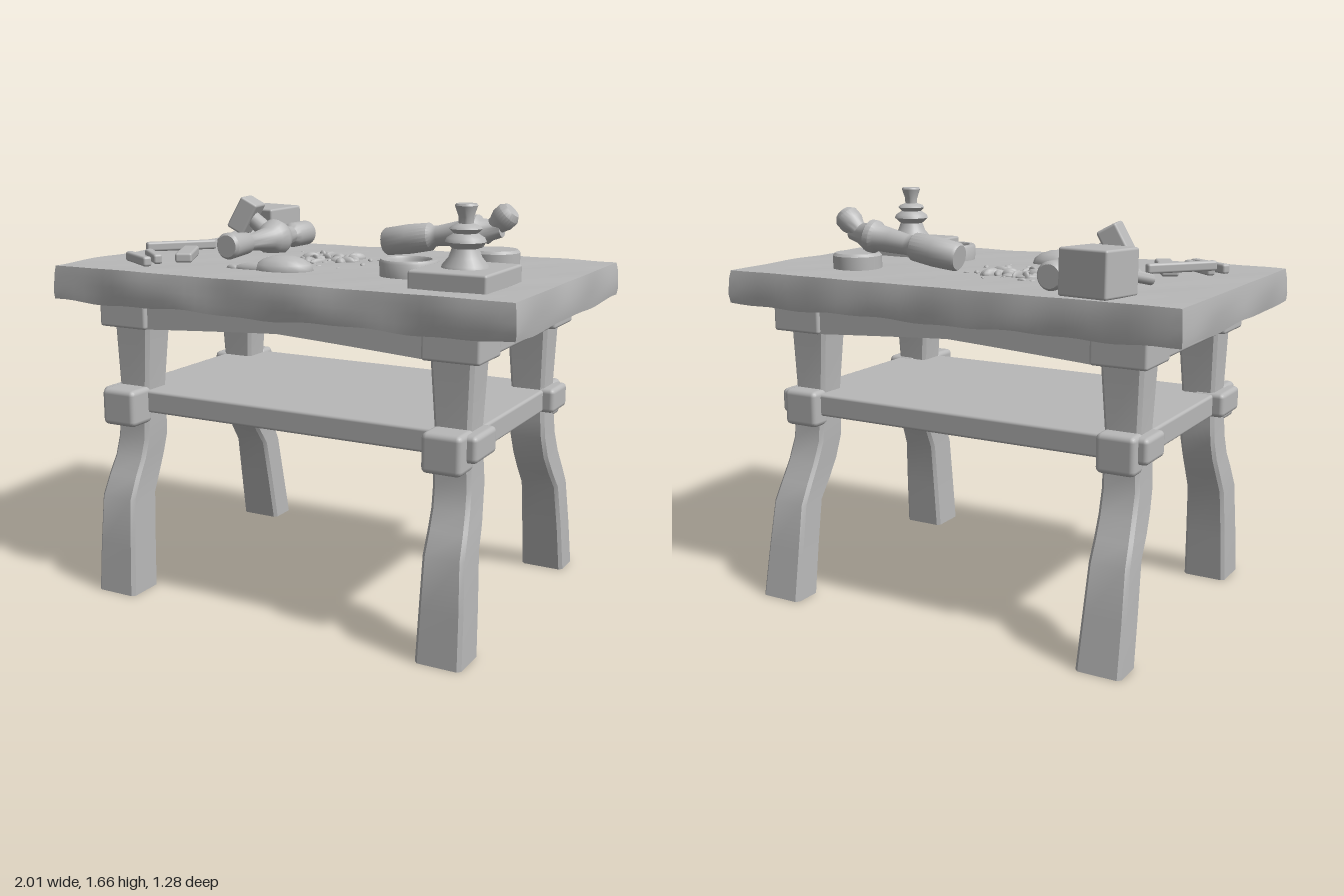
import * as THREE from 'three';
import { toCreasedNormals } from 'three/addons/utils/BufferGeometryUtils.js';
import { RoundedBoxGeometry } from 'three/addons/geometries/RoundedBoxGeometry.js';

const clay = new THREE.MeshStandardMaterial({ color: 0xb8b8b8 });
clay.name = 'grey clay';
const TOP = 1.37;

export function createModel() {
  const root = new THREE.Group();
  root.name = 'workbench';
  let seed = 7;
  const rand = () => (seed = (seed * 16807) % 2147483647) / 2147483647;

  const add = (name, geo, parent = root) => {
    const m = new THREE.Mesh(geo, clay);
    m.name = name;
    parent.add(m);
    return m;
  };
  const group = (name) => {
    const g = new THREE.Group();
    g.name = name;
    root.add(g);
    return g;
  };
  // soft-edged block given by its limits
  const block = (name, x0, x1, y0, y1, z0, z1, r = 0.012, parent = root) => {
    const m = add(name, new RoundedBoxGeometry(x1 - x0, y1 - y0, z1 - z0, 2, r), parent);
    m.position.set((x0 + x1) / 2, (y0 + y1) / 2, (z0 + z1) / 2);
    return m;
  };
  // turned piece from a to b; profile is [distance 0..1, radius]
  const turned = (name, a, b, profile, parent = root, sides = 24) => {
    const A = new THREE.Vector3(...a), dir = new THREE.Vector3(...b).sub(A), len = dir.length();
    const pts = profile.map(([t, r]) => new THREE.Vector2(r, t * len));
    pts.unshift(new THREE.Vector2(0, profile[0][0] * len));
    pts.push(new THREE.Vector2(0, profile.at(-1)[0] * len));
    const m = add(name, toCreasedNormals(new THREE.LatheGeometry(pts, sides), 0.7), parent);
    m.position.copy(A);
    m.quaternion.setFromUnitVectors(new THREE.Vector3(0, 1, 0), dir.normalize());
    return m;
  };
  // loft through chamfered rectangles [y, x0, x1, z0, z1], bottom to top
  const loft = (sections) => {
    const pos = [], idx = [], c = 0.014, n = 8;
    for (const [y, x0, x1, z0, z1] of sections) {
      const ring = [[x1, z0 + c], [x1, z1 - c], [x1 - c, z1], [x0 + c, z1],
        [x0, z1 - c], [x0, z0 + c], [x0 + c, z0], [x1 - c, z0]];
      for (const [x, z] of ring) pos.push(x, y, z);
    }
    const last = (sections.length - 1) * n;
    for (let o = 0; o < last; o += n) {
      for (let j = 0; j < n; j++) {
        const a = o + j, b = o + (j + 1) % n;
        idx.push(a, a + n, b, b, a + n, b + n);
      }
    }
    for (let j = 1; j < n - 1; j++) idx.push(0, j, j + 1, last, last + j + 1, last + j);
    const g = new THREE.BufferGeometry();
    g.setAttribute('position', new THREE.Float32BufferAttribute(pos, 3));
    g.setIndex(idx);
    return toCreasedNormals(g, 0.5);
  };

  // worn table top: slab with uneven edges
  const slab = new THREE.BoxGeometry(1.99, 0.14, 1.185, 40, 4, 26);
  const p = slab.attributes.position;
  for (let i = 0; i < p.count; i++) {
    const x = p.getX(i), y = p.getY(i), z = p.getZ(i);
    const wave = Math.sin(x * 9 + y * 20) * Math.sin(z * 11 + 1) + 0.5 * Math.sin(x * 23 + z * 17);
    const pinch = Math.abs(y) > 0.06 ? 0.005 : 0;
    p.setX(i, x + (Math.abs(x) > 0.99 ? Math.sign(x) * (0.004 * wave - pinch + 0.004) : 0));
    p.setZ(i, z + (Math.abs(z) > 0.59 ? Math.sign(z) * (0.004 * wave - pinch + 0.004) : 0));
    p.setY(i, y + (y < -0.06 ? 0.006 : 0.0015) * wave);
  }
  add('tableTop', toCreasedNormals(slab, 0.6)).position.set(0, 1.3, 0.035);

  // arched front and back aprons, straight side aprons
  for (const [name, z] of [['frontApron', 0.455], ['backApron', -0.465]]) {
    const s = new THREE.Shape();
    s.moveTo(-0.63, 1.25);
    s.lineTo(-0.63, 1.12);
    s.quadraticCurveTo(-0.25, 1.145, 0, 1.158);
    s.quadraticCurveTo(0.25, 1.145, 0.63, 1.12);
    s.lineTo(0.63, 1.25);
    add(name, new THREE.ExtrudeGeometry(s, { depth: 0.07, bevelEnabled: false })).position.z = z;
  }

  // leg profiles: [y, inner x, outer x, back z, front z]
  const frontLeg = [[0, 0.645, 0.832, 0.47, 0.64], [0.2, 0.65, 0.828, 0.458, 0.625],
    [0.41, 0.655, 0.82, 0.443, 0.607], [0.5, 0.655, 0.813, 0.402, 0.565], [0.57, 0.652, 0.805, 0.376, 0.53],
    [0.65, 0.647, 0.8, 0.356, 0.508], [0.73, 0.645, 0.795, 0.358, 0.505],
    [0.86, 0.645, 0.79, 0.362, 0.497], [1.14, 0.625, 0.8, 0.345, 0.503]];
  const backLeg = [[0, 0.645, 0.832, -0.637, -0.5], [0.2, 0.65, 0.828, -0.597, -0.465],
    [0.4, 0.655, 0.82, -0.557, -0.425], [0.48, 0.655, 0.813, -0.515, -0.365], [0.56, 0.652, 0.805, -0.473, -0.318],
    [0.65, 0.647, 0.8, -0.437, -0.288], [0.73, 0.645, 0.795, -0.43, -0.285],
    [0.86, 0.645, 0.79, -0.415, -0.285], [1.14, 0.625, 0.8, -0.422, -0.268]];
  for (const s of [1, -1]) {
    const side = s > 0 ? 'left' : 'right';
    const range = (a, b) => (s > 0 ? [a, b] : [-b, -a]);
    block(side + 'Apron', ...range(0.72, 0.815), 1.12, 1.24, -0.44, 0.5);
    for (const [end, leg, z0, z1, c0, c1, b0, b1] of [
      ['Front', frontLeg, 0.335, 0.545, 0.47, 0.603, 0.35, 0.55],
      ['Back', backLeg, -0.48, -0.26, -0.483, -0.39, -0.45, -0.28]]) {
      add(side + end + 'Leg', loft(leg.map(([y, a, b, c, d]) => [y, ...range(a, b), c, d])));
      block(side + end + 'CornerBlock', ...range(0.61, 0.838), 1.12, 1.245, z0, z1);
      block(side + end + 'Clamp', ...range(0.64, 0.8), 0.72, 0.873, c0, c1, 0.022);
      block(side + end + 'Peg', ...range(0.7, 0.838), 0.762, 0.865, b0, b1, 0.02);
    }
  }
  block('shelf', -0.79, 0.79, 0.765, 0.858, -0.44, 0.5);

  // block mallet lying at the back
  const mallet = group('blockMallet');
  const head = block('malletHead', -0.73, -0.52, TOP, 1.545, -0.545, -0.335, 0.01, mallet);
  head.rotation.set(0.03, -0.16, 0);
  turned('malletHandle', [-0.65, 1.45, -0.36], [-0.71, 1.4, -0.16], [[0, 0.026], [1, 0.022]], mallet, 12);
  turned('malletPeg', [-0.6, 1.45, -0.36], [-0.64, 1.41, -0.13], [[0, 0.03], [1, 0.025]], mallet, 12);

  // turned hammer with a small square head
  const hammer = group('turnedHammer');
  turned('hammerHandle', [-0.44, 1.43, -0.47], [-0.445, 1.432, 0.19], [[0, 0.045], [0.02, 0.055],
    [0.2, 0.055], [0.23, 0.04], [0.34, 0.05], [0.37, 0.07], [0.43, 0.083], [0.49, 0.07],
    [0.52, 0.052], [0.7, 0.036], [0.76, 0.036], [0.78, 0.046], [0.98, 0.056], [1, 0.046]], hammer);
  turned('hammerNeck', [-0.57, 1.53, -0.18], [-0.44, 1.43, -0.18], [[0, 0.032], [1, 0.042]], hammer, 16);
  const cube = add('hammerHead', new RoundedBoxGeometry(0.085, 0.15, 0.12, 2, 0.01), hammer);
  cube.position.set(-0.582, 1.527, -0.18);
  cube.rotation.set(0, 0.2, -0.5);

  // turned tool resting on a round block
  const tool = group('restingTool');
  turned('toolRest', [0.58, TOP - 0.01, -0.235], [0.58, 1.435, -0.235], [[0, 0.102], [0.85, 0.102], [1, 0.092]], tool, 32);
  turned('toolHandle', [0.09, 1.44, -0.22], [0.61, 1.52, -0.225], [[0, 0.05], [0.02, 0.058], [0.22, 0.062],
    [0.4, 0.058], [0.43, 0.044], [0.47, 0.042], [0.62, 0.05], [0.74, 0.055], [0.77, 0.068],
    [0.82, 0.068], [0.85, 0.05], [1, 0.035]], tool);
  turned('toolTip', [0.53, 1.48, -0.225], [0.635, 1.58, -0.23], [[0, 0.035], [0.55, 0.04],
    [0.75, 0.052], [1, 0.052], [1.15, 0.035]], tool);

  // open cup
  const wall = [[0.0, -0.01], [0.112, -0.01], [0.115, 0.055], [0.108, 0.065], [0.09, 0.065], [0.084, 0.055], [0.082, 0.008], [0, 0.008]];
  add('cup', toCreasedNormals(new THREE.LatheGeometry(wall.map((q) => new THREE.Vector2(...q)), 32), 0.7))
    .position.set(0.405, TOP, 0.212);

  // press stamp: square plate with a turned knob
  const stamp = group('stamp');
  block('stampPlate', 0.538, 0.843, 1.36, 1.436, 0.158, 0.512, 0.01, stamp);
  turned('stampKnob', [0.69, 1.43, 0.34], [0.69, 1.665, 0.34], [[0, 0.09], [0.06, 0.085], [0.18, 0.062],
    [0.32, 0.05], [0.42, 0.076], [0.48, 0.07], [0.55, 0.044], [0.62, 0.06], [0.66, 0.052],
    [0.7, 0.027], [0.8, 0.028], [0.97, 0.042], [1, 0.038]], stamp);

  // loose small tools
  const tools = group('smallTools');
  const bars = [[-0.62, 0.01, -0.82, 0.24, 0.034, 1.415], [-0.68, 0.11, -0.55, 0.35, 0.07, 1.395],
    [-0.8, 0.25, -0.64, 0.4, 0.036, 1.39], [-0.83, 0.345, -0.64, 0.47, 0.036, 1.388]];
  bars.forEach(([x0, z0, x1, z1, w, y], i) => {
    const bar = add('smallTool' + (i + 1),
      new RoundedBoxGeometry(Math.hypot(x1 - x0, z1 - z0), 0.04, w, 2, 0.01), tools);
    bar.position.set((x0 + x1) / 2, y, (z0 + z1) / 2);
    bar.rotation.y = -Math.atan2(z1 - z0, x1 - x0);
  });

  // lump with a tail, and scattered crumbs round a broken patch
  const scraps = group('scraps');
  const lump = (name, x, z, rx, ry, rz, turn) => {
    const m = add(name, new THREE.SphereGeometry(1, 14, 8), scraps);
    m.position.set(x, TOP, z);
    m.scale.set(rx, ry, rz);
    m.rotation.y = turn;
  };
  lump('lump', -0.1, 0.3, 0.12, 0.06, 0.075, 0.35);
  lump('lumpTail', -0.2, 0.34, 0.1, 0.028, 0.03, 0.1);
  lump('lumpTip', -0.31, 0.35, 0.03, 0.015, 0.016, -0.2);
  for (let i = 0; i < 60; i++) {
    const a = rand() * Math.PI * 2, d = 0.03 + rand() * (i < 30 ? 0.1 : 0.27), s = i < 30 ? 0.03 : 0.016;
    lump('crumb' + i, -0.1 + Math.cos(a) * d, -0.07 + Math.sin(a) * d * 0.95,
      s * (0.6 + rand()), (i < 30 ? 0.02 : 0.008) * (0.4 + rand()), s * (0.3 + rand() * 0.5), rand() * 3);
  }
  return root;
}
